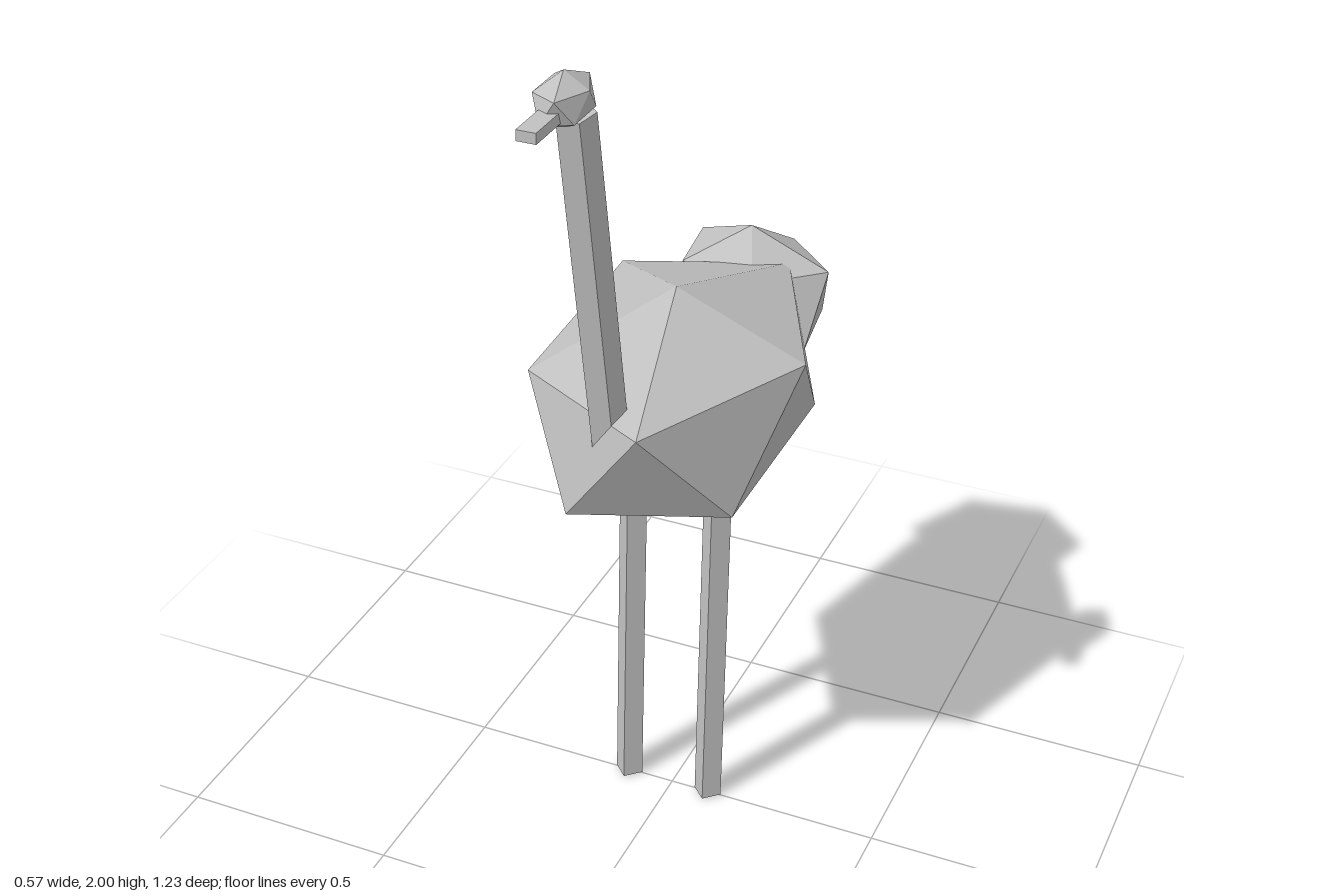
import * as THREE from 'three';

// Faceted twenty-sided lump: two poles and two five-point rings given as [x, y, z].
// Each lower point i sits between upper points i and i + 1.
function lumpGeometry(top, upper, lower, bottom) {
  const p = [];
  for (let i = 0; i < 5; i++) {
    const j = (i + 1) % 5;
    p.push(...top, ...upper[j], ...upper[i]);
    p.push(...upper[i], ...upper[j], ...lower[i]);
    p.push(...lower[i], ...upper[j], ...lower[j]);
    p.push(...bottom, ...lower[i], ...lower[j]);
  }
  const g = new THREE.BufferGeometry();
  g.setAttribute('position', new THREE.Float32BufferAttribute(p, 3));
  g.computeVertexNormals();
  return g;
}

// Regular elliptical ring of five points
function ring(cx, y, cz, rx, rz, start) {
  return [0, 1, 2, 3, 4].map((i) => {
    const a = start + (i * Math.PI * 2) / 5;
    return [cx + rx * Math.cos(a), y, cz + rz * Math.sin(a)];
  });
}

// Straight prism between two points
function rodGeometry(from, to, radius, sides, start) {
  const a = new THREE.Vector3(...from), b = new THREE.Vector3(...to);
  const dir = b.clone().sub(a);
  const g = new THREE.CylinderGeometry(radius, radius, dir.length(), sides, 1, false, start).toNonIndexed();
  g.applyQuaternion(new THREE.Quaternion().setFromUnitVectors(new THREE.Vector3(0, 1, 0), dir.normalize()));
  const mid = a.add(b).multiplyScalar(0.5);
  g.translate(mid.x, mid.y, mid.z);
  g.computeVertexNormals();
  return g;
}

export function createModel() {
  const model = new THREE.Group();
  model.name = 'longNeckedBird';
  const grey = new THREE.MeshStandardMaterial({ color: 0xc0c0c0 });
  grey.name = 'grey';
  grey.flatShading = true;
  const add = (name, geometry) => {
    const mesh = new THREE.Mesh(geometry, grey);
    mesh.name = name;
    model.add(mesh);
  };
  const cx = -0.01;

  // Body
  add('body', lumpGeometry(
    [cx, 1.31, -0.045],
    [[0.282, 1.185, -0.05], [0.085, 1.19, 0.375], [-0.24, 1.185, 0.2], [-0.257, 1.19, -0.31], [0.09, 1.19, -0.45]],
    [[0.222, 0.94, 0.2], [-0.095, 0.945, 0.333], [-0.285, 0.945, -0.05], [-0.1, 0.932, -0.465], [0.22, 0.94, -0.29]],
    [cx, 0.8, -0.045]));

  // Tail tuft
  add('tail', lumpGeometry(
    [cx, 1.255, -0.47],
    [[0.177, 1.175, -0.47], [0.045, 1.18, -0.34], [-0.145, 1.175, -0.39], [-0.167, 1.175, -0.56], [0.045, 1.17, -0.6]],
    [[0.16, 1.02, -0.37], [-0.07, 1.025, -0.34], [-0.22, 1.03, -0.47], [-0.067, 1.02, -0.612], [0.137, 1.03, -0.55]],
    [cx, 0.94, -0.47]));

  // Neck and head
  add('neck', rodGeometry([cx, 1.1, 0.289], [cx, 1.9, 0.418], 0.041, 5, Math.PI));
  add('head', lumpGeometry(
    [cx, 2, 0.46],
    ring(cx, 1.968, 0.46, 0.051, 0.078, 0),
    ring(cx, 1.918, 0.46, 0.051, 0.078, Math.PI / 5),
    [cx, 1.888, 0.46]));

  // Beak
  const beak = new THREE.BoxGeometry(0.04, 0.022, 0.155);
  beak.translate(cx, 1.934, 0.537);
  add('beak', beak);

  // Legs, leaning slightly back
  for (const [name, side] of [['leftLeg', 1], ['rightLeg', -1]]) {
    const x = cx + side * 0.101;
    add(name, rodGeometry([x, 0.002, 0], [x, 0.9, -0.045], 0.033, 4, 0));
  }
  return model;
}
